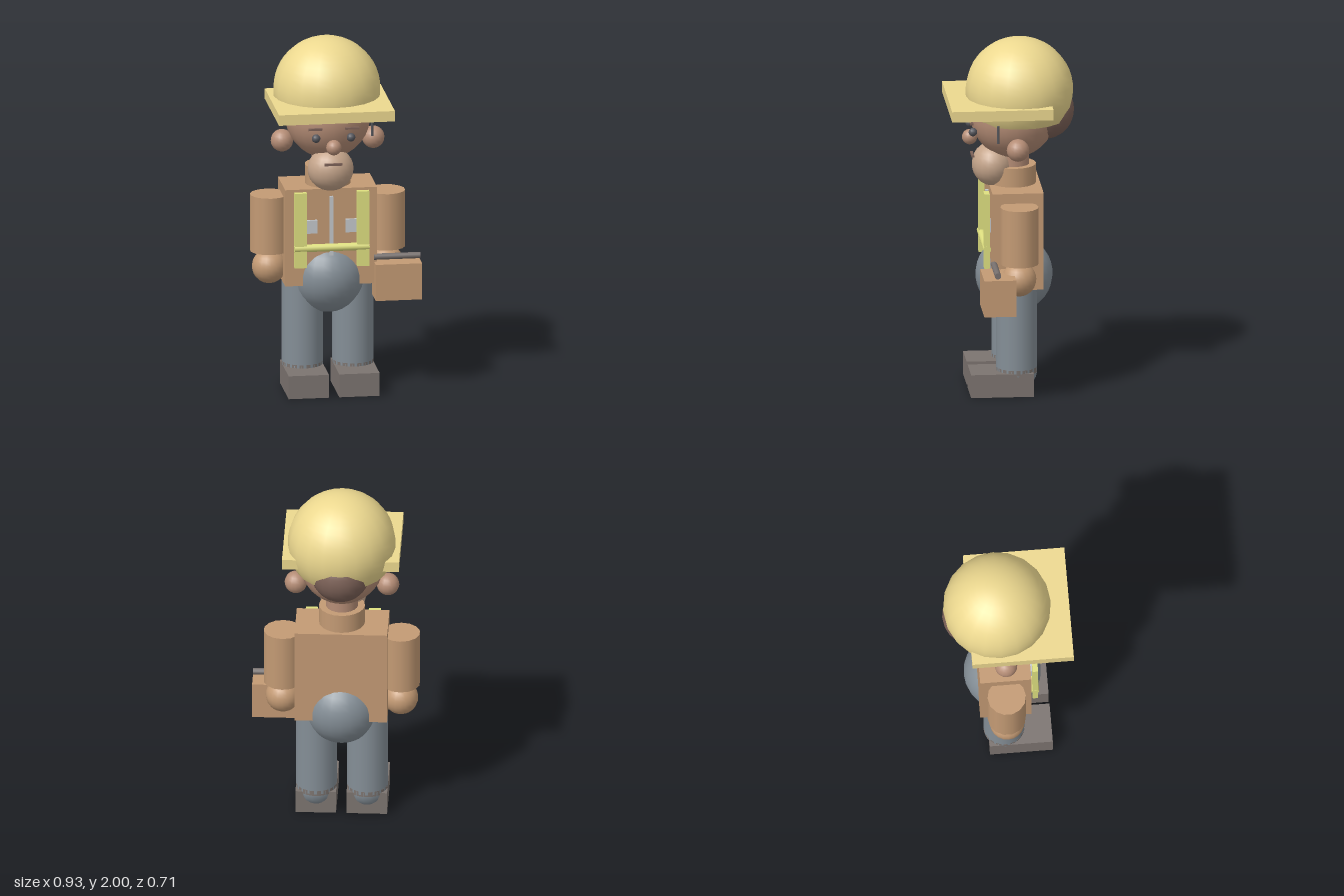
import * as THREE from 'three';

const CX = -0.035; // body's centre line

const mat = (color) => new THREE.MeshStandardMaterial({ color });
const helmetMat = mat(0xecd88f);
helmetMat.side = THREE.DoubleSide;
const skin = mat(0xb58d76);
const hairMat = mat(0x7d6258);
const beardMat = mat(0xc4a48a);
const jacket = mat(0xc39a74);
const pants = mat(0x848e96);
const bootMat = mat(0x7c7470);
const strapMat = mat(0xdfe080);
const silver = mat(0xc4c8cc);
const dark = mat(0x55565c);
const handleMat = mat(0x77706e);

export function createModel() {
  const model = new THREE.Group();

  const add = (name, geometry, material, x, y, z) => {
    const mesh = new THREE.Mesh(geometry, material);
    mesh.name = name;
    mesh.position.set(x, y, z);
    model.add(mesh);
    return mesh;
  };
  const box = (name, m, w, h, d, x, y, z) => add(name, new THREE.BoxGeometry(w, h, d), m, x, y, z);
  const ball = (name, m, r, x, y, z, seg = 20) =>
    add(name, new THREE.SphereGeometry(r, seg, Math.ceil(seg * 0.7)), m, x, y, z);
  const cyl = (name, m, r, h, x, y, z, seg = 16) =>
    add(name, new THREE.CylinderGeometry(r, r, h, seg), m, x, y, z);

  // Hard hat: dome reaching below a square brim
  add('helmetDome', new THREE.SphereGeometry(0.3, 20, 16, 0, Math.PI * 2, 0, 2.13), helmetMat, CX, 1.7, -0.05);
  box('helmetBrim', helmetMat, 0.65, 0.06, 0.565, CX, 1.64, 0.07);

  // Head
  ball('head', skin, 0.237, CX, 1.557, -0.015, 24);
  ball('backHair', hairMat, 0.165, CX, 1.585, -0.19);
  ball('nose', skin, 0.043, CX, 1.437, 0.227, 16);
  ball('beard', beardMat, 0.125, CX, 1.28, 0.1).scale.set(1.03, 0.98, 0.92);
  box('mouth', hairMat, 0.1, 0.012, 0.015, CX, 1.335, 0.213);
  cyl('pencil', dark, 0.007, 0.1, 0.2, 1.507, 0.087, 8);
  cyl('neck', skin, 0.09, 0.1, CX, 1.29, -0.015, 20);
  cyl('collar', jacket, 0.128, 0.11, CX, 1.225, -0.015, 20);

  // Torso, hips and vest fastenings
  box('torso', jacket, 0.515, 0.555, 0.285, CX, 1.172 - 0.2775, -0.021);
  ball('hips', pants, 0.215, CX, 0.645, -0.02, 24);
  box('zipper', silver, 0.02, 0.34, 0.02, CX, 0.96, 0.13);
  const belt = cyl('vestBelt', strapMat, 0.022, 0.42, CX, 0.84, 0.147, 12);
  belt.rotation.z = Math.PI / 2;

  // Paired parts, mirrored about the centre line
  for (const [side, s] of [['right', -1], ['left', 1]]) {
    const at = (d) => CX + s * d;
    ball(side + 'Ear', skin, 0.063, at(0.256), 1.422, -0.02, 16);
    ball(side + 'Eye', dark, 0.024, at(0.098), 1.49, 0.217, 12);
    box(side + 'Eyebrow', hairMat, 0.078, 0.011, 0.018, at(0.103), 1.545, 0.227);
    cyl(side + 'Arm', jacket, 0.107, 0.325, at(0.328), 0.953, -0.022, 14);
    ball(side + 'Hand', skin === null ? skin : jacket, 0.096, at(0.328), 0.7, -0.02);
    box(side + 'VestStrap', strapMat, 0.068, 0.43, 0.03, at(0.175), 0.945, 0.148);
    box(side + 'Clip', silver, 0.065, 0.075, 0.03, at(0.112), 0.958, 0.123);
    cyl(side + 'Leg', pants, 0.115, 0.53, at(0.142), 0.395, -0.022, 18);
    ball(side + 'Ankle', pants, 0.115, at(0.142), 0.13, -0.022, 18);
    box(side + 'Boot', bootMat, 0.226, 0.132, 0.35, at(0.142), 0.066, 0.066);
    cyl(side + 'BootTop', bootMat, 0.1145, 0.03, at(0.142), 0.135, -0.022, 28);
  }

  // Toolbox carried in the left hand
  box('toolbox', jacket, 0.26, 0.208, 0.178, 0.336, 0.636, 0.1);
  const handle = cyl('toolboxHandle', handleMat, 0.018, 0.26, 0.336, 0.767, 0.113, 12);
  handle.rotation.z = Math.PI / 2;

  return model;
}
